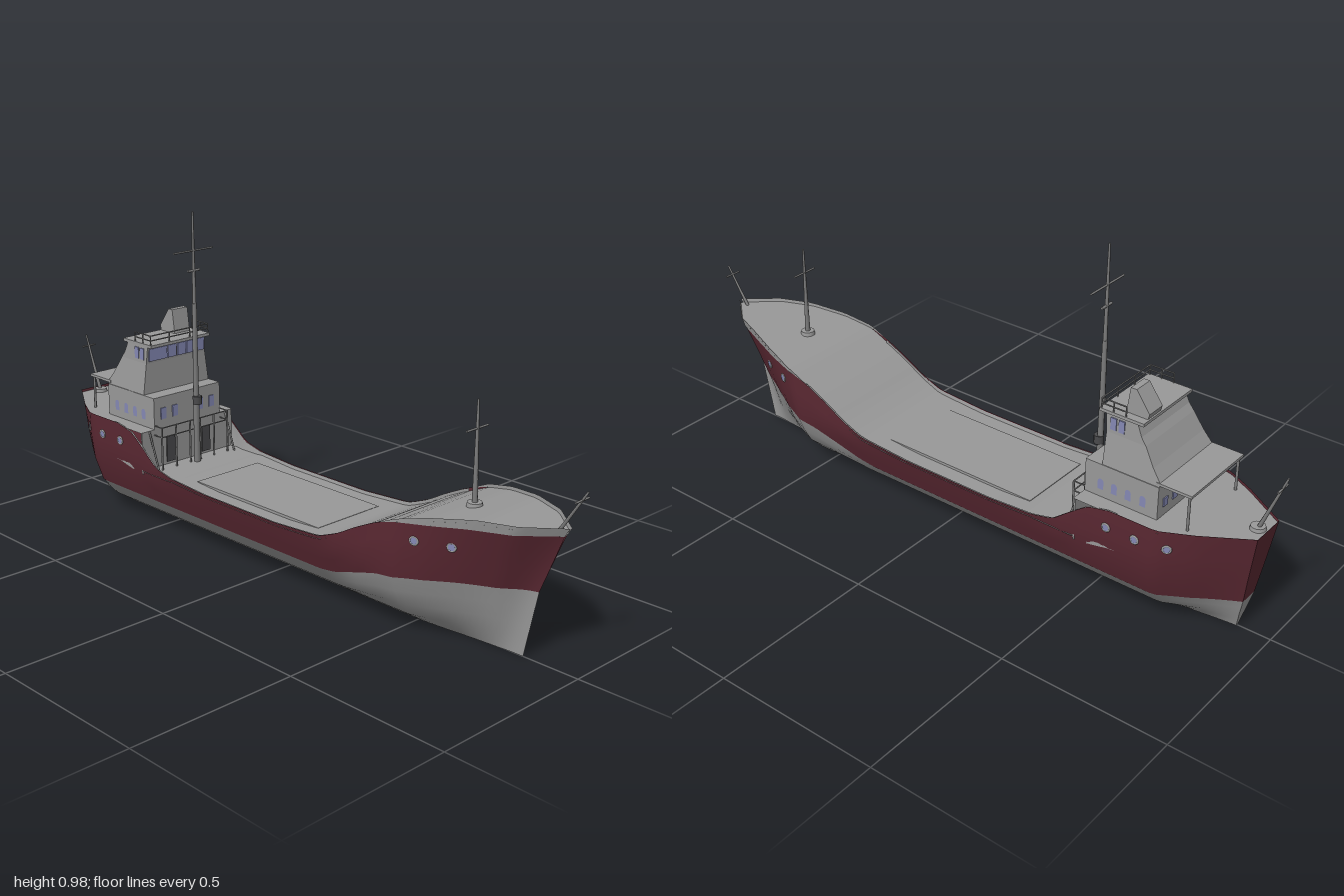
import * as THREE from 'three';
import { toCreasedNormals } from 'three/addons/utils/BufferGeometryUtils.js';

const mat = (name, color) => Object.assign(new THREE.MeshStandardMaterial({ color, side: THREE.DoubleSide }), { name });

// Piecewise-linear lookup in a short table of [position, value]
function lerpTable(t, x) {
  if (x <= t[0][0]) return t[0][1];
  for (let i = 1; i < t.length; i++) {
    if (x <= t[i][0]) {
      const [a, b] = [t[i - 1], t[i]];
      return a[1] + (b[1] - a[1]) * (x - a[0]) / (b[0] - a[0]);
    }
  }
  return t[t.length - 1][1];
}

// Hull lines
const STERN = -0.96, BOW = 0.955;
const section = [[0, 0.027], [0.055, 0.11], [0.105, 0.15], [0.2, 0.182], [0.4, 0.182]];
const plan = [[-0.96, 0.3], [-0.83, 0.75], [-0.74, 1], [0.57, 1], [0.66, 0.88], [0.75, 0.71], [0.86, 0.47], [0.955, 0.02]];
const stem = [[0, 0.83], [0.19, 0.87], [0.36, 0.94], [0.385, 0.955]];
const sternPost = [[0, -0.9], [0.105, -0.925], [0.33, -0.96]];
const sheer = [[-0.6, 0.33], [-0.53, 0.315], [-0.47, 0.27], [-0.42, 0.23], [-0.35, 0.214], [-0.2, 0.205], [0.1, 0.205],
  [0.27, 0.216], [0.35, 0.245], [0.42, 0.282], [0.49, 0.315], [0.56, 0.336], [0.75, 0.355], [0.94, 0.36]];
const paintLine = [[0.25, 0.105], [0.31, 0.114], [0.4, 0.14], [0.5, 0.168], [0.6, 0.18], [0.75, 0.19]];
const forecastleTop = [[0.5, 0.318], [0.56, 0.345], [0.65, 0.368], [0.76, 0.385]];
const sheerAt = z => lerpTable(sheer, z);
const paintAt = z => lerpTable(paintLine, z);
const topAt = z => z > 0.5 ? lerpTable(forecastleTop, z) : sheerAt(z);

// Point on the port hull side at nominal station z and height y
function hullPoint(z, y) {
  const power = z > 0 ? 1 + 1.3 * Math.max(0, 1 - y / 0.36) : 1 + 0.5 * Math.max(0, 1 - y / 0.33);
  const x = lerpTable(section, y) * Math.pow(lerpTable(plan, z), power);
  if (z > 0.3) z = 0.3 + (z - 0.3) * (lerpTable(stem, y) - 0.3) / (BOW - 0.3);
  if (z < -0.6) z = -0.6 + (z + 0.6) * (lerpTable(sternPost, y) + 0.6) / (STERN + 0.6);
  return [x, y, z];
}

const stations = (a, b, n) => Array.from({ length: n + 1 }, (_, i) => a + (b - a) * i / n);

// Surface through rows of points
function skin(rows, crease = 0.5) {
  const pos = rows.flat(2), idx = [], w = rows[0].length;
  for (let i = 0; i < rows.length - 1; i++) {
    for (let j = 0; j < w - 1; j++) {
      const a = i * w + j, b = a + w;
      idx.push(a, b, a + 1, b, b + 1, a + 1);
    }
  }
  const g = new THREE.BufferGeometry();
  g.setAttribute('position', new THREE.Float32BufferAttribute(pos, 3));
  g.setIndex(idx);
  return toCreasedNormals(g, crease);
}

// One side of a hull band between two heights, with the stern closed to the centreline
function band(low, high, n, zs, side, inset = 0) {
  const rows = zs.map(z => stations(0, 1, n).map(f => {
    const [x, y, pz] = hullPoint(z, low(z) + (high(z) - low(z)) * f);
    return [side * Math.max(0, x - inset), y, pz];
  }));
  if (zs[0] === STERN) rows.unshift(rows[0].map(p => [0, p[1], p[2]]));
  if (side < 0) rows.forEach(r => r.reverse());
  return skin(rows);
}

export function createModel() {
  const ship = new THREE.Group();
  ship.name = 'cargoShip';
  const grey = mat('paleGrey', 0x989898), red = mat('maroon', 0x5a2832);
  const glass = mat('windowBlue', 0x8488b4), metal = mat('mastGrey', 0x7c7c7c), dark = mat('darkGrey', 0x4a4a4c);

  const add = (name, geo, material, x = 0, y = 0, z = 0) => {
    const m = new THREE.Mesh(geo, material);
    m.name = name;
    m.position.set(x, y, z);
    ship.add(m);
    return m;
  };
  const box = (name, material, x0, x1, y0, y1, z0, z1) => add(name,
    new THREE.BoxGeometry(x1 - x0, y1 - y0, z1 - z0), material, (x0 + x1) / 2, (y0 + y1) / 2, (z0 + z1) / 2);
  const rod = (name, a, b, r0, r1 = r0, material = metal) => {
    const p = new THREE.Vector3(...a), d = new THREE.Vector3(...b).sub(p);
    const m = add(name, new THREE.CylinderGeometry(r1, r0, d.length(), 8), material);
    m.position.copy(p).addScaledVector(d, 0.5);
    m.quaternion.setFromUnitVectors(new THREE.Vector3(0, 1, 0), d.normalize());
    return m;
  };

  // Hull
  const full = stations(STERN, BOW, 90);
  for (const s of [1, -1]) {
    add('lowerHull', band(() => 0, paintAt, 4, full, s), grey);
    add('upperHull', band(paintAt, sheerAt, 3, full, s), red);
    add('forecastleBulwark', band(sheerAt, topAt, 1, stations(0.5, BOW, 24), s), grey);
    add('bulwarkLining', band(z => sheerAt(z) - 0.12, sheerAt, 2, stations(-0.62, 0.5, 50), s, 0.004), grey);
  }
  const keel = full.map(z => hullPoint(z, 0));
  add('keelPlate', skin(keel.map(([x, y, z]) => [[-x, y, z], [x, y, z]])), grey);

  // Decks follow the rail and step up at the poop bulkhead
  const deck = (name, a, b, n, height) => add(name, skin(stations(a, b, n).map(z => {
    const [x, y, pz] = hullPoint(z, height(z));
    return [[-x, y, pz], [x, y, pz]];
  })), grey);
  deck('poopDeck', STERN, -0.485, 20, () => 0.322);
  deck('mainDeck', -0.485, BOW, 70, z => (z < -0.35 ? 0.202 : topAt(z) - 0.01));
  box('poopBulkhead', grey, -0.178, 0.178, 0.19, 0.322, -0.49, -0.485);
  box('hatchCover', grey, -0.12, 0.12, 0.19, 0.203, -0.3, 0.21);

  // Portholes
  for (const [z, y] of [[0.72, 0.295], [0.62, 0.295], [-0.59, 0.275], [-0.68, 0.275], [-0.77, 0.275]]) {
    const p = hullPoint(z, y), q = hullPoint(z + 0.01, y);
    const yaw = Math.atan2(q[0] - p[0], q[2] - p[2]);
    for (const s of [1, -1]) {
      const hole = new THREE.Group();
      hole.name = 'porthole';
      const rim = new THREE.Mesh(new THREE.TorusGeometry(0.011, 0.003, 6, 16), grey);
      const pane = new THREE.Mesh(new THREE.CircleGeometry(0.011, 16), glass);
      pane.position.z = 0.002;
      hole.add(rim, pane);
      hole.position.set(s * p[0], p[1], p[2]);
      hole.rotation.y = s * (Math.PI / 2 + yaw);
      ship.add(hole);
    }
  }

  // Side profiles [z, y] extruded across the ship, narrowing with height
  const halfWidth = [[0.42, 0.128], [0.515, 0.115], [0.57, 0.112]];
  const profile = (name, pts, width) => {
    const shape = new THREE.Shape(pts.map(p => new THREE.Vector2(...p)));
    const g = new THREE.ExtrudeGeometry(shape, { depth: 1, bevelEnabled: false });
    g.translate(0, 0, -0.5).rotateY(-Math.PI / 2);
    const p = g.attributes.position;
    for (let i = 0; i < p.count; i++) p.setX(i, p.getX(i) * 2 * width(p.getY(i)));
    g.computeVertexNormals();
    return add(name, g, grey);
  };
  const taper = y => lerpTable(halfWidth, y);

  // Deckhouse and bridge
  box('deckhouse', grey, -0.13, 0.13, 0.322, 0.42, -0.71, -0.485);
  profile('bridgeBase', [[-0.535, 0.42], [-0.535, 0.515], [-0.655, 0.515], [-0.685, 0.465], [-0.71, 0.432], [-0.71, 0.42]], taper);
  profile('bridge', [[-0.535, 0.515], [-0.53, 0.57], [-0.625, 0.57], [-0.64, 0.535], [-0.655, 0.515]], taper);
  box('bridgeRoof', grey, -0.115, 0.115, 0.567, 0.576, -0.645, -0.51);
  box('aftCanopy', grey, -0.128, 0.128, 0.424, 0.432, -0.805, -0.7);
  profile('funnel', [[-0.64, 0.575], [-0.575, 0.575], [-0.585, 0.65], [-0.603, 0.65], [-0.645, 0.592]], () => 0.03).position.x = 0.06;

  // Windows
  for (const s of [1, -1]) {
    for (const [a, b] of [[0.003, 0.035], [0.039, 0.107]]) {
      const [x0, x1] = s > 0 ? [a, b] : [-b, -a];
      box('frontWindow', glass, x0, x1, 0.522, 0.56, -0.535, -0.528);
    }
    for (const z of [-0.555, -0.58]) box('bridgeSideWindow', glass, s * 0.113 - 0.003, s * 0.113 + 0.003, 0.525, 0.56, z - 0.009, z + 0.009);
    for (const z of [-0.535, -0.577, -0.62, -0.665]) {
      const pane = new THREE.Shape().moveTo(-0.009, -0.015).lineTo(0.009, -0.015).lineTo(0.009, 0.008).absarc(0, 0.008, 0.009, 0, Math.PI);
      add('deckhouseWindow', new THREE.ShapeGeometry(pane, 6), glass, s * 0.1315, 0.36, z).rotation.y = s * Math.PI / 2;
    }
    for (const x of [0.05, 0.095]) {
      box('aftWindow', glass, s * x - 0.01, s * x + 0.01, 0.35, 0.375, -0.713, -0.709);
      box('deckhouseFrontWindow', glass, s * x - 0.01, s * x + 0.01, 0.35, 0.385, -0.486, -0.482);
    }
    box('bulkheadDoor', dark, s * 0.07 - 0.016, s * 0.07 + 0.016, 0.21, 0.29, -0.486, -0.481);
    rod('canopyPost', [s * 0.12, 0.322, -0.795], [s * 0.12, 0.426, -0.795], 0.004);

    // Bridge roof rails
    for (const y of [0.59, 0.605]) rod('roofRail', [s * 0.112, y, -0.515], [s * 0.112, y, -0.59], 0.002);
    for (const z of [-0.515, -0.552, -0.59]) rod('railPost', [s * 0.112, 0.574, z], [s * 0.112, 0.605, z], 0.002);
    rod('railPost', [s * 0.04, 0.574, -0.515], [s * 0.04, 0.605, -0.515], 0.002);

    // Rails and ladder ahead of the poop
    for (const x of [0.02, 0.075, 0.13]) rod('gangwayPost', [s * x, 0.2, -0.45], [s * x, 0.335, -0.45], 0.003);
    for (const y of [0.305, 0.335]) rod('gangwaySideRail', [s * 0.13, y, -0.45], [s * 0.13, y, -0.485], 0.002);
    rod('ladderRail', [s * 0.15, 0.2, -0.44], [s * 0.15, 0.322, -0.485], 0.003);
  }
  for (const y of [0.59, 0.605]) rod('roofFrontRail', [-0.112, y, -0.515], [0.112, y, -0.515], 0.002);
  for (const y of [0.305, 0.335]) rod('gangwayRail', [-0.13, y, -0.45], [0.13, y, -0.45], 0.002);

  // Main mast
  rod('mainMast', [0, 0.2, -0.442], [0, 0.7, -0.442], 0.01, 0.007);
  rod('mainTopmast', [0, 0.7, -0.442], [0, 0.975, -0.442], 0.006, 0.003);
  rod('mainYard', [-0.074, 0.86, -0.442], [0.074, 0.86, -0.442], 0.003);
  rod('lowerYard', [-0.022, 0.8, -0.442], [0.022, 0.8, -0.442], 0.004);
  add('mastLamp', new THREE.CylinderGeometry(0.014, 0.014, 0.025, 12), dark, 0, 0.4, -0.437);

  // Foremast
  rod('foreMast', [0, 0.355, 0.655], [0, 0.645, 0.655], 0.008, 0.003);
  rod('foreYard', [-0.042, 0.568, 0.655], [0.042, 0.568, 0.655], 0.003);
  add('foreMastFoot', new THREE.CylinderGeometry(0.02, 0.022, 0.012, 16), grey, 0, 0.365, 0.655);

  // Raked bow and stern staffs
  rod('bowStaff', [0, 0.37, 0.92], [0, 0.49, 0.998], 0.005, 0.003);
  rod('bowStaffYard', [-0.027, 0.465, 0.982], [0.027, 0.465, 0.982], 0.003);
  rod('sternStaff', [0, 0.322, -0.93], [0, 0.5, -0.998], 0.006, 0.003);
  rod('sternStaffYard', [-0.025, 0.465, -0.985], [0.025, 0.465, -0.985], 0.003);
  add('sternStaffFoot', new THREE.CylinderGeometry(0.02, 0.022, 0.01, 16), grey, 0, 0.327, -0.93);
  return ship;
}
